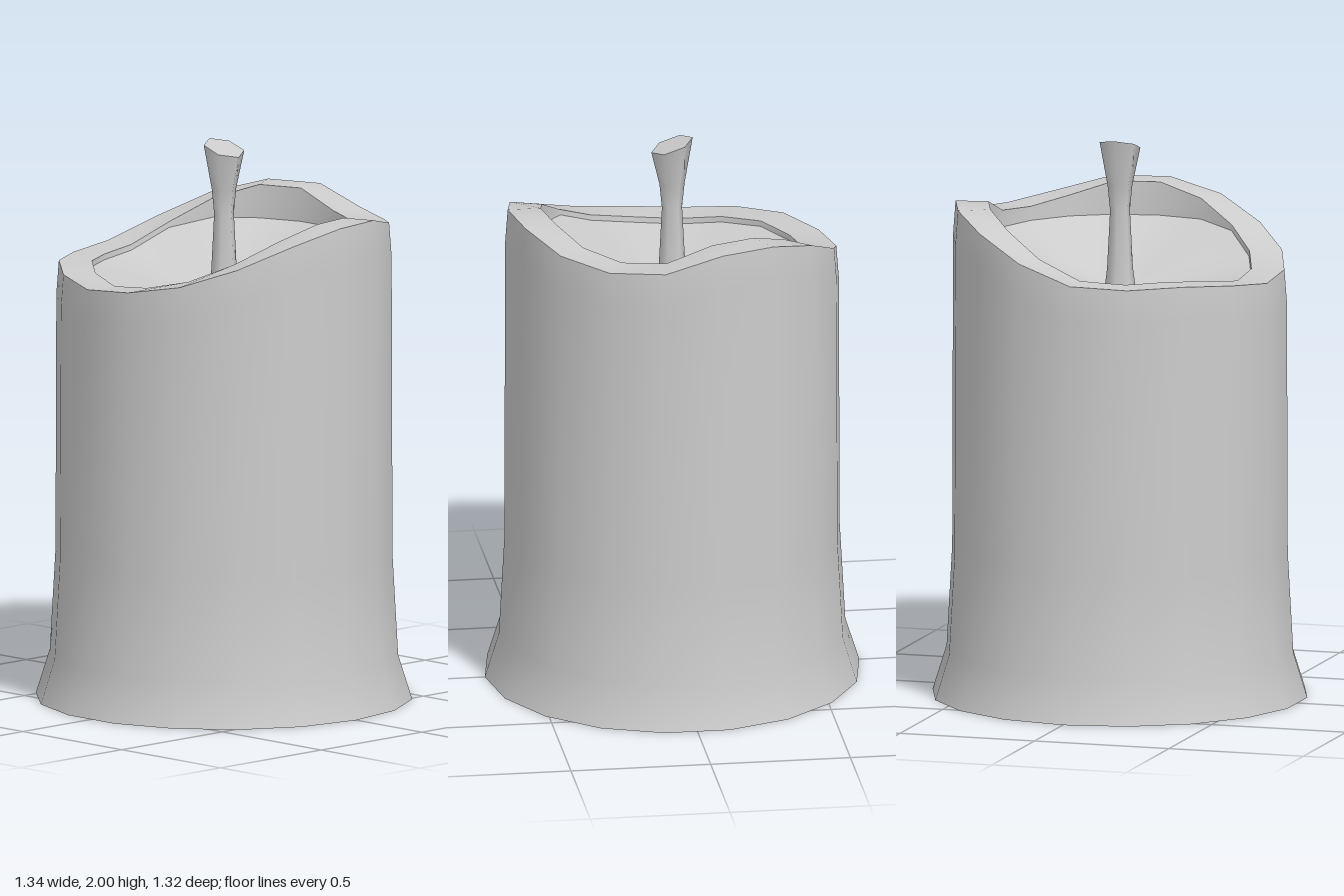
import * as THREE from 'three';

const SIDES = 18;
// Height of the melted rim at every 20 degrees, from +x round towards +z
const RIM = [1.76, 1.715, 1.64, 1.575, 1.54, 1.525, 1.545, 1.56, 1.555,
  1.565, 1.63, 1.71, 1.76, 1.76, 1.70, 1.69, 1.715, 1.76];

const material = new THREE.MeshStandardMaterial({ color: 0xcccccc, side: THREE.DoubleSide });

// Joins closed rings into a smooth skin; each ring is [radius, heightAt(index)]
function loft(name, rings) {
  const positions = [];
  const indices = [];
  rings.forEach(([radius, heightAt], j) => {
    for (let i = 0; i < SIDES; i++) {
      const angle = (i / SIDES) * Math.PI * 2;
      positions.push(radius * Math.cos(angle), heightAt(i), radius * Math.sin(angle));
      if (j === 0) continue;
      const next = (i + 1) % SIDES;
      const a = (j - 1) * SIDES + i, b = (j - 1) * SIDES + next;
      const c = j * SIDES + i, d = j * SIDES + next;
      indices.push(a, c, b, b, c, d);
    }
  });
  const geometry = new THREE.BufferGeometry();
  geometry.setAttribute('position', new THREE.Float32BufferAttribute(positions, 3));
  geometry.setIndex(indices);
  geometry.computeVertexNormals();
  const mesh = new THREE.Mesh(geometry, material);
  mesh.name = name;
  return mesh;
}

function createWick() {
  const wick = new THREE.Group();
  wick.name = 'wick';

  // Waisted six-sided stem with a slanted tip
  const profile = [[0.06, 1.43], [0.047, 1.53], [0.036, 1.74], [0.045, 1.83], [0.074, 1.975]]
    .map(([r, y]) => new THREE.Vector2(r, y));
  const stem = new THREE.LatheGeometry(profile, 6, Math.PI / 2);
  const cap = new THREE.CircleGeometry(0.074, 6).rotateX(-Math.PI / 2).translate(0, 1.975, 0);
  for (const geometry of [stem, cap]) {
    const p = geometry.attributes.position;
    for (let i = 0; i < p.count; i++) {
      if (p.getY(i) > 1.95) p.setY(i, p.getY(i) - p.getX(i) * 0.34);
    }
  }
  cap.computeVertexNormals();

  const stemMesh = new THREE.Mesh(stem, material);
  stemMesh.name = 'wickStem';
  const capMesh = new THREE.Mesh(cap, material);
  capMesh.name = 'wickTip';
  wick.add(stemMesh, capMesh);
  return wick;
}

export function createModel() {
  const candle = new THREE.Group();
  candle.name = 'candle';

  const level = (y) => () => y;
  const rim = (i) => RIM[i];
  const poolEdge = (i) => Math.min(RIM[i] - 0.02, 1.64);
  const dish = (t) => (i) => 1.44 + (poolEdge(i) - 1.44) * t;

  candle.add(
    // Open-bottomed body with a flared foot
    loft('body', [
      [0.67, level(0)], [0.62, level(0.16)], [0.6, level(0.52)],
      [0.597, (i) => RIM[i] - 0.12], [0.588, rim],
    ]),
    loft('rim', [[0.588, rim], [0.47, rim]]),
    loft('innerWall', [[0.47, rim], [0.468, poolEdge]]),
    // Shallow dish of wax sinking towards the wick
    loft('waxPool', [[0.468, poolEdge], [0.24, dish(0.42)], [0, dish(0)]]),
    createWick(),
  );
  return candle;
}
